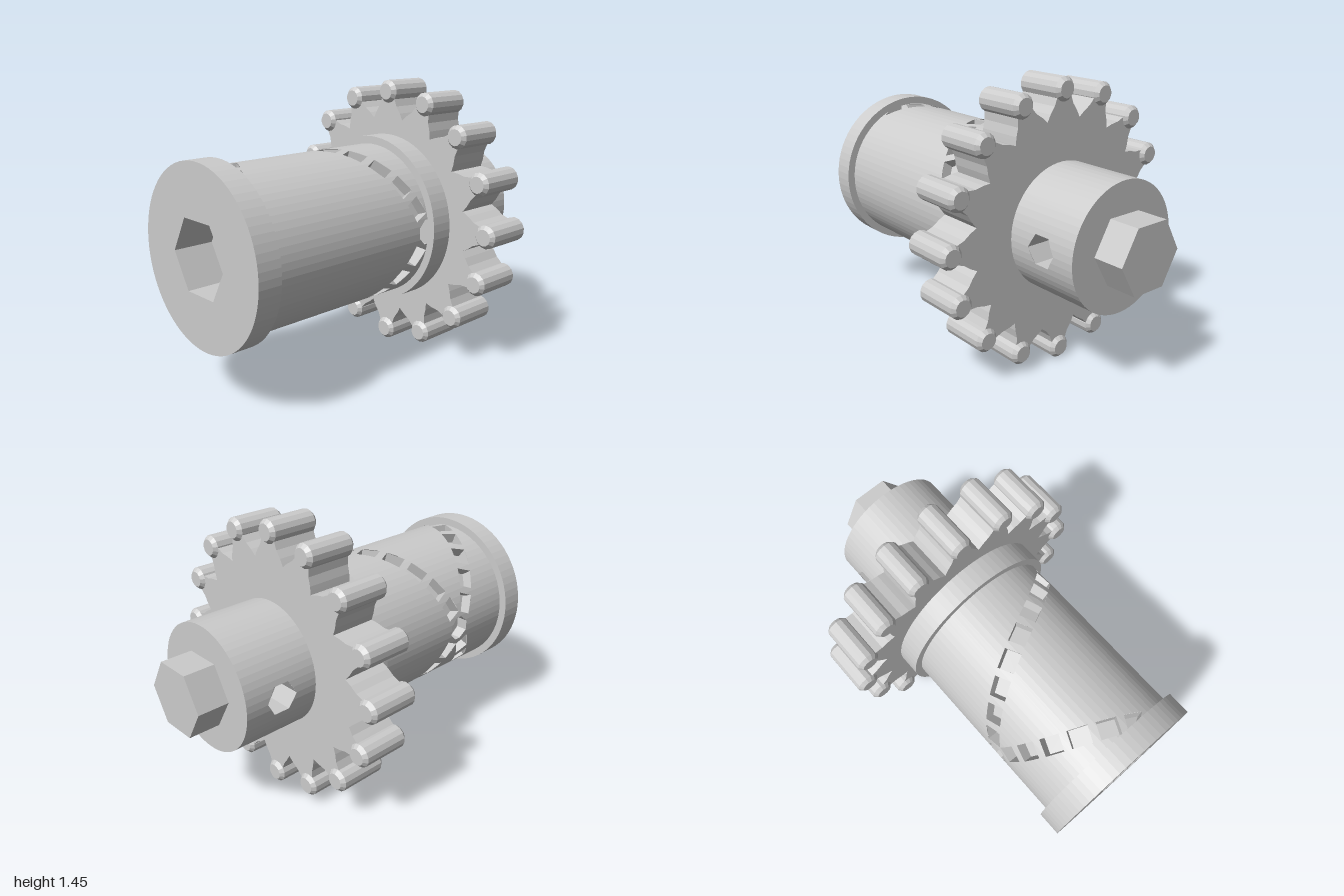
import * as THREE from 'three';

const AXIS_Y = 0.727;
const TAU = Math.PI * 2;
const grey = new THREE.MeshStandardMaterial({ color: 0xcccccc, flatShading: true, side: THREE.DoubleSide });

function add(parent, name, geometry) {
  const mesh = new THREE.Mesh(geometry, grey);
  mesh.name = name;
  parent.add(mesh);
  return mesh;
}

// Cylinder lying along z between z0 and z1
function rod(radius, z0, z1, sides, open = false, start = 0) {
  return new THREE.CylinderGeometry(radius, radius, z1 - z0, sides, 1, open, start)
    .rotateX(Math.PI / 2).translate(0, 0, (z0 + z1) / 2);
}

function polygon(radius, sides, Type = THREE.Shape) {
  const pts = [];
  for (let i = 0; i < sides; i++) {
    const a = (i / sides) * TAU;
    pts.push(new THREE.Vector2(radius * Math.cos(a), radius * Math.sin(a)));
  }
  return new Type(pts);
}

// Open cylinder wall with convex sockets sunk into it.
// Each hole: { angle, z, pts: [[tangent, dz], ...] counter-clockwise }
function socketedWall(R, z0, z1, sides, holes, depth) {
  const pos = [];
  const quad = (a, b, c, d) => pos.push(...a, ...b, ...c, ...a, ...c, ...d);
  const step = TAU / sides;
  const onWall = (a, z) => {
    const off = a - (Math.floor(a / step + 1e-9) + 0.5) * step;
    const r = (R * Math.cos(step / 2)) / Math.cos(off);
    return [r * Math.cos(a), r * Math.sin(a), z];
  };
  const clampZ = (z) => Math.min(z1, Math.max(z0, z));

  // Socket walls and floors; outlines are kept for cutting the wall
  const outlines = [];
  for (const h of holes) {
    const c = Math.cos(h.angle), s = Math.sin(h.angle), q = R - depth;
    const rim = h.pts.map(([t, dz]) => [h.angle + Math.asin(t / R), clampZ(h.z + dz)]);
    const floor = h.pts.map(([t, dz]) => [q * c - t * s, q * s + t * c, clampZ(h.z + dz)]);
    rim.forEach((p, i) => {
      const j = (i + 1) % rim.length;
      quad(onWall(...p), onWall(...rim[j]), floor[j], floor[i]);
      if (i > 0 && j > 0) pos.push(...floor[0], ...floor[i], ...floor[j]);
    });
    for (const turn of [-TAU, 0, TAU]) outlines.push(rim.map(([a, z]) => [a + turn, z]));
  }

  // Slice the wall into narrow columns and fill the spans between holes
  const cuts = outlines.flat().map((p) => p[0]).filter((a) => a > 0 && a < TAU);
  for (let i = 0; i <= sides; i++) cuts.push(i * step);
  cuts.sort((a, b) => a - b);
  for (let i = 0; i + 1 < cuts.length; i++) {
    const a = cuts[i], b = cuts[i + 1], mid = (a + b) / 2;
    if (b - a < 1e-6) continue;
    const spans = [];
    for (const o of outlines) {
      const hits = [];
      o.forEach((p, k) => {
        const n = o[(k + 1) % o.length];
        if ((p[0] < mid) === (n[0] < mid)) return;
        const at = (x) => p[1] + ((n[1] - p[1]) * (x - p[0])) / (n[0] - p[0]);
        hits.push([at(a), at(b), at(mid)]);
      });
      if (hits.length === 2) spans.push(hits.sort((u, v) => u[2] - v[2]));
    }
    spans.sort((u, v) => u[0][2] - v[0][2]);
    spans.push([[z1, z1], [z1, z1]]);
    let l = z0, r = z0;
    for (const [lo, hi] of spans) {
      const topL = Math.max(l, lo[0]), topR = Math.max(r, lo[1]);
      if (topL - l + topR - r > 1e-6) quad(onWall(a, l), onWall(b, r), onWall(b, topR), onWall(a, topL));
      l = Math.max(l, hi[0]);
      r = Math.max(r, hi[1]);
    }
  }
  const g = new THREE.BufferGeometry();
  g.setAttribute('position', new THREE.Float32BufferAttribute(pos, 3));
  g.computeVertexNormals();
  return g;
}

// Two mirrored helices of rectangular sockets that cross on the x axis
function helixHoles() {
  const rect = [[-0.05, -0.043], [0.05, -0.043], [0.05, 0.043], [-0.05, 0.043]];
  const tilt = 0.44;
  const turned = (a) => rect.map(([x, y]) => [x * Math.cos(a) - y * Math.sin(a), x * Math.sin(a) + y * Math.cos(a)]);
  const holes = [];
  for (let k = 0; k <= 16; k++) {
    const angle = (k * Math.PI) / 10, z = -0.08 + 0.06 * k;
    if (k % 10 === 0) {
      const pts = [...turned(tilt), ...turned(-tilt)].sort((p, q) => Math.atan2(p[1], p[0]) - Math.atan2(q[1], q[0]));
      holes.push({ angle, z, pts });
    } else {
      for (const side of [1, -1]) holes.push({ angle: side * angle, z, pts: turned(side * tilt) });
    }
  }
  return holes;
}

function gearShape(teeth) {
  const half = [[0.03, 0.665], [0.045, 0.63], [0.06, 0.59], [0.085, 0.555], [0.094, 0.538]];
  const tooth = [...half.map(([x, r]) => [-x, r]).reverse(), ...half];
  const pts = [];
  for (let i = 0; i < teeth; i++) {
    const a = (-i / teeth) * TAU, c = Math.cos(a), s = Math.sin(a);
    for (const [x, y] of tooth) pts.push(new THREE.Vector2(x * c - y * s, x * s + y * c));
    const v = Math.PI / 2 + a - Math.PI / teeth; // valley between teeth
    pts.push(new THREE.Vector2(0.53 * Math.cos(v), 0.53 * Math.sin(v)));
  }
  return new THREE.Shape(pts);
}

export function createModel() {
  const model = new THREE.Group();
  model.name = 'sprocketDrum';
  const body = new THREE.Group();
  body.name = 'body';
  body.position.y = AXIS_Y;
  model.add(body);

  // Drum with crossing rows of sockets
  add(body, 'drum', socketedWall(0.4, -0.08, 0.88, 72, helixHoles(), 0.06));

  // Front flange with a hexagonal socket
  const ring = polygon(0.44, 72);
  ring.holes.push(polygon(0.2, 6, THREE.Path));
  add(body, 'frontFlange', new THREE.ExtrudeGeometry(ring, { depth: 0.12, bevelEnabled: false }).translate(0, 0, 0.88));
  add(body, 'hexSocket', rod(0.2, 0.8, 1, 6, true, Math.PI / 2));
  add(body, 'hexSocketFloor', new THREE.ShapeGeometry(polygon(0.2, 6)).translate(0, 0, 0.8));

  // Rear flange
  add(body, 'rearFlange', rod(0.44, -0.2, -0.08, 72));

  // Toothed wheel with a bevelled pin on every tooth
  const teeth = 16;
  add(body, 'gearWheel', new THREE.ExtrudeGeometry(gearShape(teeth), { depth: 0.24, bevelEnabled: false }).translate(0, 0, -0.44));
  const profile = [[0, -0.14], [0.042, -0.14], [0.06, -0.12], [0.06, 0.12], [0.042, 0.14], [0, 0.14]]
    .map(([x, y]) => new THREE.Vector2(x, y));
  const pin = new THREE.LatheGeometry(profile, 14).rotateX(Math.PI / 2);
  for (let i = 0; i < teeth; i++) {
    const a = (i / teeth) * TAU;
    add(body, 'toothPin', pin).position.set(0.665 * Math.cos(a), 0.665 * Math.sin(a), -0.32);
  }

  // Hub with a hexagonal cross hole on each side
  const hex = polygon(0.083, 6).getPoints().slice(0, 6).map((p) => [-p.y, p.x]);
  const crossHoles = [0, Math.PI].map((angle) => ({ angle, z: -0.64, pts: hex }));
  add(body, 'hub', socketedWall(0.32, -0.84, -0.44, 60, crossHoles, 0.14));
  add(body, 'hubEnd', new THREE.CircleGeometry(0.32, 60).rotateY(Math.PI).translate(0, 0, -0.84));

  // Hexagonal drive peg
  add(body, 'hexPeg', rod(0.184, -1, -0.84, 6, false, Math.PI / 2));
  return model;
}
